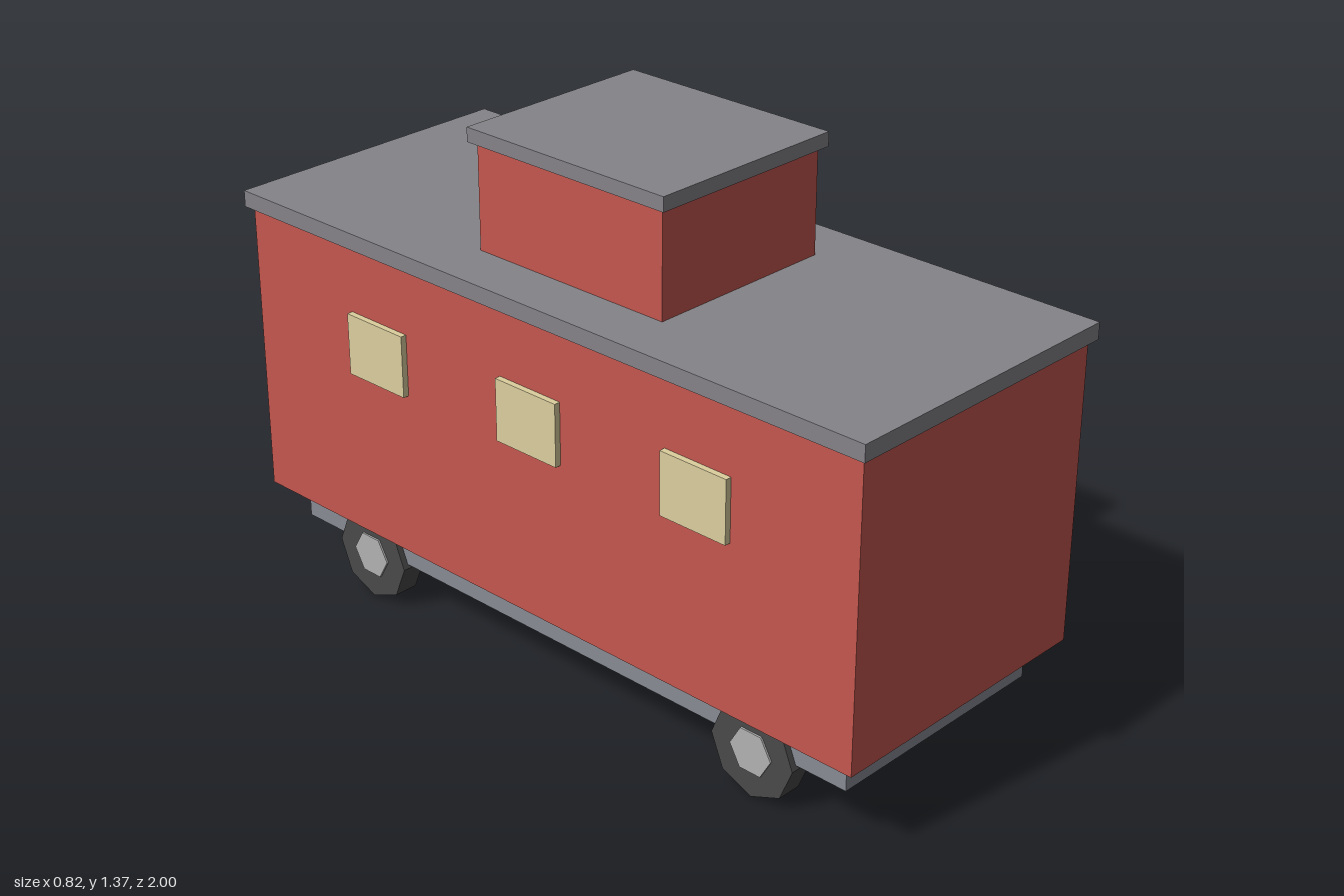
import * as THREE from 'three';

const material = (color) => new THREE.MeshStandardMaterial({ color, flatShading: true });

export function createModel() {
  const model = new THREE.Group();
  model.name = 'caboose';

  const red = material(0xc4574f);
  const roofGrey = material(0x858388);
  const frameGrey = material(0x878b94);
  const cream = material(0xdccf9f);
  const rubber = material(0x4a4a4a);
  const steel = material(0xb2b2b2);

  const add = (parent, name, geometry, mat, x, y, z) => {
    const mesh = new THREE.Mesh(geometry, mat);
    mesh.name = name;
    mesh.position.set(x, y, z);
    parent.add(mesh);
  };

  // Centred slab from its width, bottom, top and depth
  const slab = (name, width, bottom, top, depth, mat) =>
    add(model, name, new THREE.BoxGeometry(width, top - bottom, depth), mat, 0, (bottom + top) / 2, 0);

  // Chassis, body and raised lookout with their roofs
  slab('chassis', 0.655, 0.133, 0.233, 1.84, frameGrey);
  slab('body', 0.786, 0.233, 1.015, 1.97, red);
  slab('roof', 0.82, 1.015, 1.058, 2, roofGrey);
  slab('cupola', 0.524, 1.058, 1.33, 0.59, red);
  slab('cupolaRoof', 0.556, 1.33, 1.367, 0.626, roofGrey);

  // Three windows on each side
  const windowGeometry = new THREE.BoxGeometry(0.033, 0.163, 0.197);
  for (const side of [-1, 1]) {
    for (const z of [-0.525, 0, 0.525]) {
      add(model, 'window', windowGeometry, cream, side * 0.3925, 0.757, z);
    }
  }

  // Octagonal wheels with hexagonal hubs showing on both faces
  const tireGeometry = new THREE.CylinderGeometry(0.123, 0.123, 0.066, 8).rotateZ(Math.PI / 2);
  const hubGeometry = new THREE.CylinderGeometry(0.062, 0.062, 0.076, 6).rotateZ(Math.PI / 2);
  for (const side of [-1, 1]) {
    for (const z of [-0.655, 0.655]) {
      const wheel = new THREE.Group();
      wheel.name = 'wheel';
      wheel.position.set(side * 0.311, 0.123, z);
      add(wheel, 'tire', tireGeometry, rubber, 0, 0, 0);
      add(wheel, 'hub', hubGeometry, steel, 0, 0, 0);
      model.add(wheel);
    }
  }

  return model;
}
